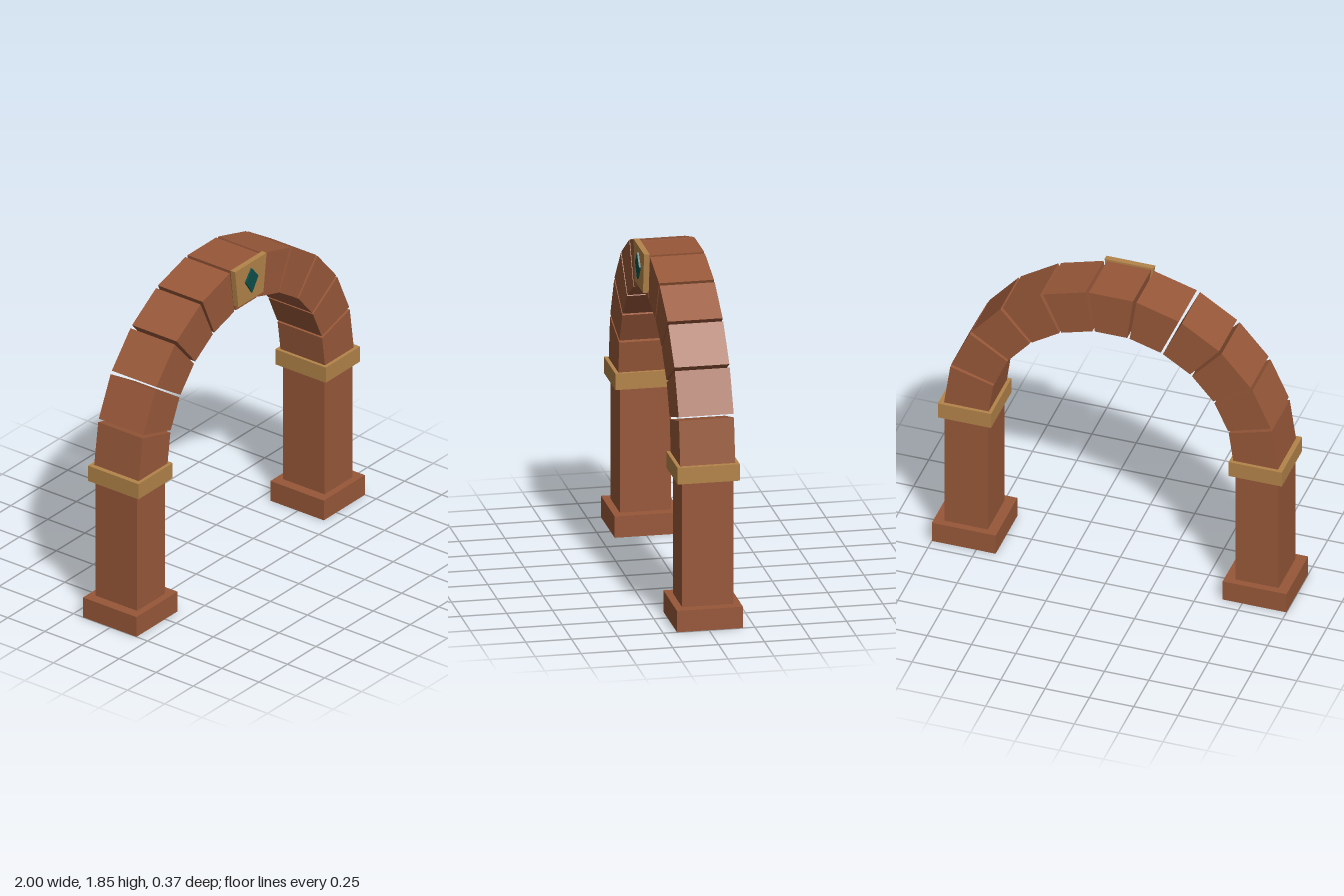
import * as THREE from 'three';

const Z = -0.005; // shared depth centre of posts and stones

export function createModel() {
  const stone = new THREE.MeshStandardMaterial({ color: 0x985839 });
  stone.name = 'terracotta stone';
  const gold = new THREE.MeshStandardMaterial({ color: 0xb4844a });
  gold.name = 'ochre trim';
  const teal = new THREE.MeshStandardMaterial({ color: 0x0c5049 });
  teal.name = 'dark teal gem';

  const model = new THREE.Group();
  model.name = 'archway';

  const add = (name, geometry, material, parent = model) => {
    const mesh = new THREE.Mesh(geometry, material);
    mesh.name = name;
    parent.add(mesh);
    return mesh;
  };

  // Box given by width, bottom, top and depth
  const block = (name, w, y0, y1, d, material, parent) =>
    add(name, new THREE.BoxGeometry(w, y1 - y0, d), material, parent)
      .position.set(0, (y0 + y1) / 2, Z);

  // Flat outline extruded from z0 to z1
  const slab = (points, z0, z1) => {
    const shape = new THREE.Shape(points.map(([x, y]) => new THREE.Vector2(x, y)));
    return new THREE.ExtrudeGeometry(shape, { depth: z1 - z0, bevelEnabled: false })
      .translate(0, 0, z0);
  };

  // Pillars: plinth, shaft and capital on each side
  for (const side of [-1, 1]) {
    const pillar = new THREE.Group();
    pillar.name = side > 0 ? 'leftPillar' : 'rightPillar';
    pillar.position.x = side * 0.82;
    block('plinth', 0.36, 0, 0.12, 0.36, stone, pillar);
    block('shaft', 0.245, 0.12, 0.82, 0.28, stone, pillar);
    block('capital', 0.3, 0.82, 0.912, 0.34, gold, pillar);
    model.add(pillar);
  }

  // Ring of eleven wedge stones separated by narrow gaps
  const count = 11, inner = 0.69, outer = 0.942, springY = 0.9;
  const half = THREE.MathUtils.degToRad(7.6);
  const wedge = slab([
    [-inner * Math.sin(half), inner * Math.cos(half)],
    [inner * Math.sin(half), inner * Math.cos(half)],
    [outer * Math.sin(half), outer * Math.cos(half)],
    [-outer * Math.sin(half), outer * Math.cos(half)],
  ], Z - 0.15, Z + 0.15);
  for (let i = 0; i < count; i++) {
    const wedgeStone = add(`archStone${i + 1}`, wedge, stone);
    wedgeStone.position.y = springY;
    wedgeStone.rotation.z = ((i + 0.5) / count - 0.5) * Math.PI;
  }

  // Keystone plate with its diamond gem
  add('keystonePlate', slab(
    [[-0.11, 1.62], [0.11, 1.62], [0.138, 1.845], [-0.138, 1.845]], 0.145, 0.176), gold);
  add('diamondGem', slab(
    [[0, 1.665], [0.054, 1.746], [0, 1.812], [-0.054, 1.746]], 0.176, 0.186), teal);

  return model;
}
